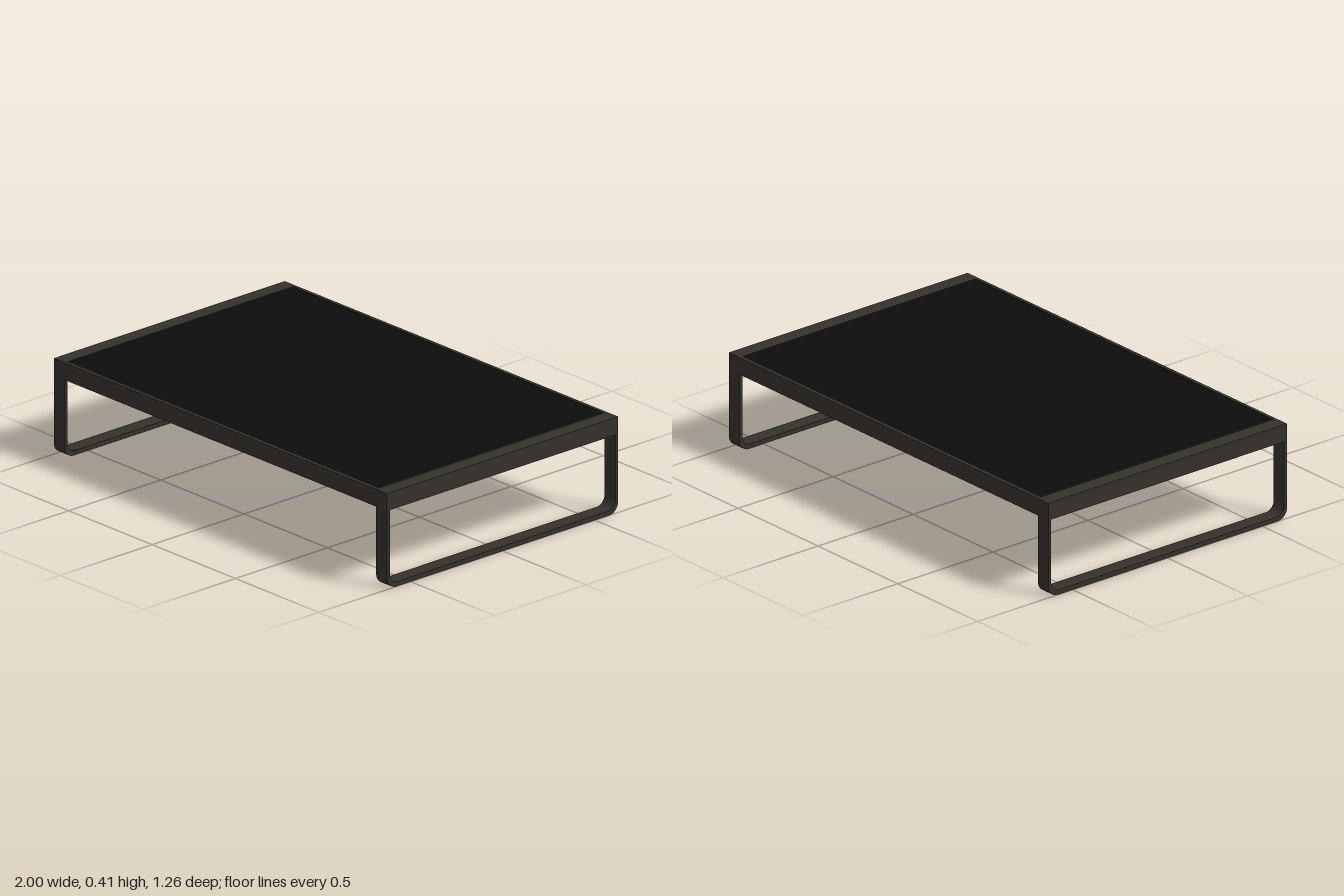
import * as THREE from 'three';

const W = 1, D = 0.628, H = 0.415;   // half width, half depth, height
const BAR = 0.066;                   // width of the side frames along x
const RAIL_Y = 0.34;                 // underside of the rails
const WALL = 0.015;                  // thickness of legs and rails

const frameMat = new THREE.MeshStandardMaterial({ color: 0x35312b });
const panelMat = new THREE.MeshStandardMaterial({ color: 0x0d0d0d });

// Rectangle with rounded lower corners
function roundedBottom(path, hw, y0, y1, r) {
  path.moveTo(-hw, y1);
  path.lineTo(-hw, y0 + r);
  path.absarc(-hw + r, y0 + r, r, Math.PI, Math.PI * 1.5, false);
  path.lineTo(hw - r, y0);
  path.absarc(hw - r, y0 + r, r, -Math.PI / 2, 0, false);
  path.lineTo(hw, y1);
  path.closePath();
  return path;
}

function box(name, size, pos, mat) {
  const mesh = new THREE.Mesh(new THREE.BoxGeometry(...size), mat);
  mesh.name = name;
  mesh.position.set(...pos);
  return mesh;
}

export function createModel() {
  const table = new THREE.Group();
  table.name = 'lowTable';

  // Side frames: deep top bar and a sled leg loop in one piece
  const outline = roundedBottom(new THREE.Shape(), D, 0, H, 0.05);
  outline.holes.push(roundedBottom(new THREE.Path(), D - WALL, 0.02, RAIL_Y, 0.042));
  const sideGeo = new THREE.ExtrudeGeometry(outline, { depth: BAR, bevelEnabled: false, curveSegments: 10 });
  sideGeo.translate(0, 0, -BAR / 2);
  sideGeo.rotateY(Math.PI / 2);
  for (const [name, s] of [['leftSideFrame', 1], ['rightSideFrame', -1]]) {
    const side = new THREE.Mesh(sideGeo, frameMat);
    side.name = name;
    side.position.x = s * (W - BAR / 2);
    table.add(side);
  }

  // Thin front and back rails between the side frames
  const inner = 2 * (W - BAR);
  for (const [name, s] of [['frontRail', 1], ['backRail', -1]]) {
    table.add(box(name, [inner, H - RAIL_Y, WALL],
      [0, (H + RAIL_Y) / 2, s * (D - WALL / 2)], frameMat));
  }

  // Dark top panel set into the frame
  table.add(box('topPanel', [inner, 0.02, 2 * (D - WALL)], [0, H - 0.012, 0], panelMat));
  return table;
}
